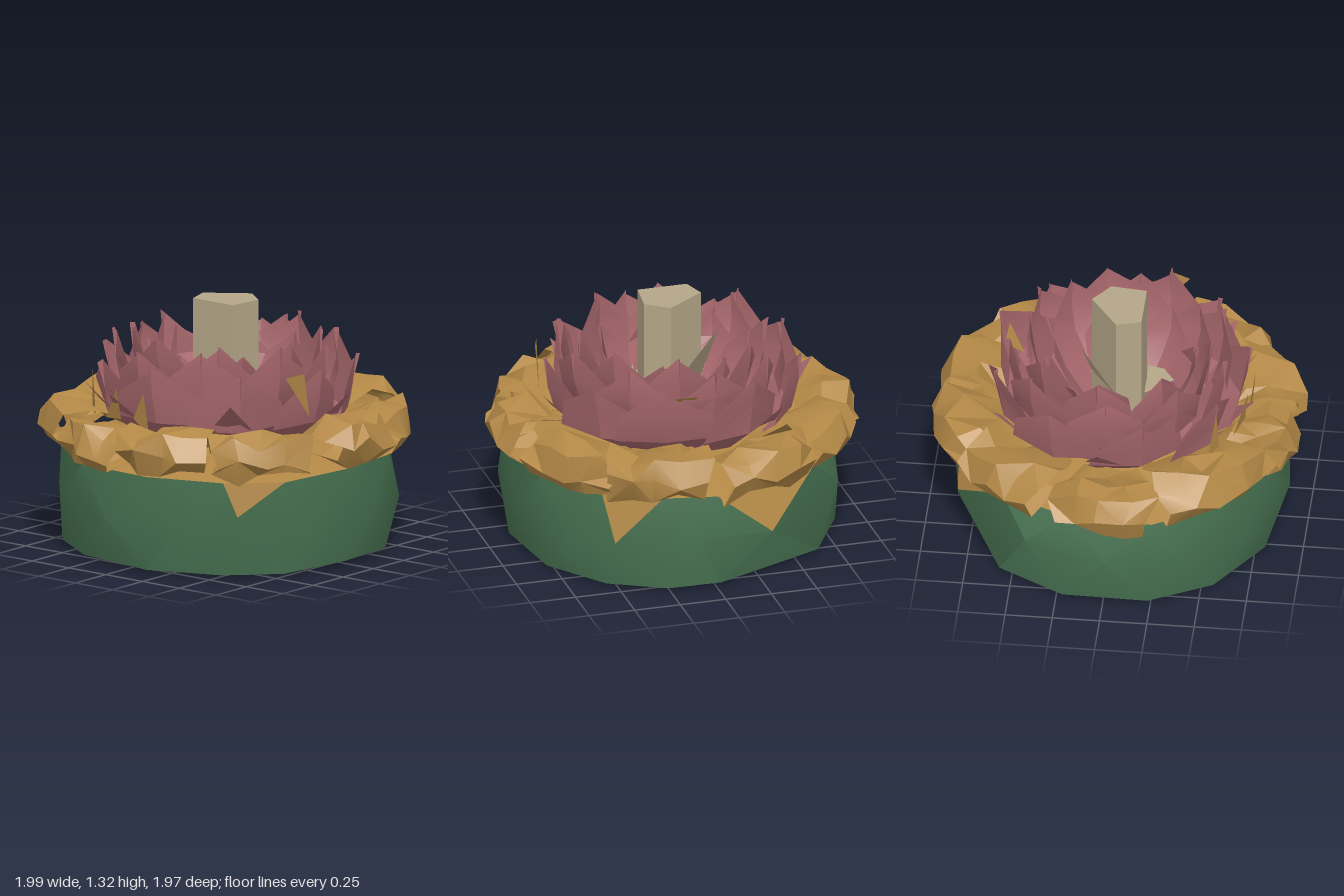
import * as THREE from 'three';
import { mergeGeometries, toCreasedNormals } from 'three/addons/utils/BufferGeometryUtils.js';

// seeded wobble in the range -1..1
let seed = 7;
const wob = () => {
  seed = (seed * 16807) % 2147483647;
  return (seed / 2147483647) * 2 - 1;
};

// point from azimuth in degrees (0 = +x, 90 = +z), radius and height
const polar = (deg, r, y, dx = 0, dz = 0) => {
  const a = THREE.MathUtils.degToRad(deg);
  return [r * Math.cos(a) + dx, y, r * Math.sin(a) + dz];
};

function fromTriangles(tris, crease = 0.45) {
  const g = new THREE.BufferGeometry();
  g.setAttribute('position', new THREE.Float32BufferAttribute(tris.flat(2), 3));
  return toCreasedNormals(g, crease);
}

// open sheet: rows of points, each row the same length
function sheet(rows) {
  const tris = [];
  for (let i = 0; i < rows.length - 1; i++) {
    for (let j = 0; j < rows[i].length - 1; j++) {
      const [a, b, c, d] = [rows[i][j], rows[i][j + 1], rows[i + 1][j + 1], rows[i + 1][j]];
      if ((i + j) % 2) tris.push([a, b, c], [a, c, d]);
      else tris.push([a, b, d], [b, c, d]);
    }
  }
  return fromTriangles(tris);
}

// wide pointed petal with a ridge; one edge tucks inside its neighbour
function uprightPetal(az, half, profile) {
  const grow = wob() * 0.03;
  return sheet(profile.map(([r, y, w], i) => {
    const tip = i / (profile.length - 1);
    return [-1, 0, 1].map((v) => polar(az + half * w * v,
      r + (v ? v * 0.04 * w : 0.02) + wob() * 0.01, y + grow * tip + wob() * 0.015));
  }));
}

// broad crumpled petal that arches over the rim and curls back under
function curledPetal(az, half, lift) {
  const profile = [[0.50, 0.64, 0.9], [0.64, 0.70, 1], [0.79, 0.77, 1.05], [0.92, 0.75, 1],
    [0.985, 0.65, 0.85], [0.93, 0.56, 0.85], [0.74, 0.60, 0.9]];
  return sheet(profile.map(([r, y, w]) => [-1, -0.5, 0, 0.5, 1].map((v) =>
    polar(az + half * w * v + wob() * 1.8, Math.min(r + 0.01 - 0.025 * v * v + wob() * 0.025, 0.995),
      y + lift + wob() * 0.045 - 0.02 * v * v))));
}

export function createModel() {
  const model = new THREE.Group();
  const material = (name, color) =>
    new THREE.MeshStandardMaterial({ name, color, side: THREE.DoubleSide });
  const green = material('green', 0x477150);
  const ochre = material('ochre', 0xb38846);
  const pink = material('dusty pink', 0xa8686d);
  const beige = material('beige', 0xb5a688);
  const add = (name, geometry, mat) => {
    const mesh = new THREE.Mesh(geometry, mat);
    mesh.name = name;
    model.add(mesh);
  };

  // faceted bowl: rim and base rings staggered against a wider middle ring
  const rimAz = [4, 30, 52, 80, 112, 140, 165, 195, 222, 268, 287, 309, 335];
  const midAz = [17, 47, 66, 96, 126, 152, 180, 208, 249, 277, 305, 322, 350];
  const rim = rimAz.map((a) => polar(a, 0.87 + wob() * 0.01, 0.525 + wob() * 0.015, 0.03, 0.03));
  const mid = midAz.map((a) => polar(a, 0.90 + wob() * 0.01, 0.30 + wob() * 0.05, 0.01, 0.01));
  const foot = rimAz.map((a) => polar(a, 0.86 + wob() * 0.015, 0.025 + wob() * 0.015, 0.01, 0.01));
  const patches = [1, 8, 10];
  const bowl = [], drips = [];
  for (let i = 0; i < rim.length; i++) {
    const n = (i + 1) % rim.length;
    (patches.includes(i) ? drips : bowl).push([rim[i], rim[n], mid[i]]);
    bowl.push([mid[i], rim[n], mid[n]], [foot[i], mid[i], foot[n]],
      [mid[i], mid[n], foot[n]], [[0, 0, 0], foot[i], foot[n]]);
  }
  add('bowl', fromTriangles(bowl, 0.5), green);
  add('bowlPatches', fromTriangles(drips), ochre);

  // sloping collar between the bowl and the flower, and the flower's floor
  const collar = [], floor = [];
  for (let i = 0; i < rim.length; i++) {
    const n = (i + 1) % rim.length;
    const a = polar(rimAz[i], 0.45, 0.63), b = polar(rimAz[n], 0.45, 0.63);
    collar.push([rim[i], a, rim[n]], [rim[n], a, b]);
    floor.push([a, [0, 0.63, 0], b]);
  }
  add('collar', fromTriangles(collar), ochre);
  add('flowerFloor', fromTriangles(floor), pink);

  // outer curled petals: azimuth, half width
  const curled = [[0, 15], [323, 20], [291, 18], [251, 20], [218, 17], [180, 18],
    [141, 21], [103, 13], [72, 16], [39, 18]];
  add('outerPetals', mergeGeometries(curled.map(([a, h], i) =>
    curledPetal(a, h, i % 2 ? -0.015 : 0.02))), ochre);

  // upright petal rings: count, half width, start azimuth, profile of [radius, height, width]
  const rings = [
    ['lowPetals', 9, 25, 5, [[0.45, 0.62, 0.9], [0.62, 0.74, 1], [0.65, 0.88, 0.85], [0.68, 1.03, 0]]],
    ['middlePetals', 9, 25, 25, [[0.38, 0.63, 0.9], [0.53, 0.80, 1], [0.57, 0.98, 0.8], [0.58, 1.13, 0]]],
    ['highPetals', 8, 27, 8, [[0.28, 0.63, 0.9], [0.42, 0.80, 1], [0.47, 1.00, 0.8], [0.49, 1.17, 0]]],
    ['innerPetals', 7, 30, 38, [[0.19, 0.66, 0.9], [0.30, 0.80, 1], [0.37, 0.94, 0.8], [0.40, 1.08, 0]]],
  ];
  for (const [name, count, half, start, profile] of rings) {
    const petals = [];
    for (let k = 0; k < count; k++) {
      petals.push(uprightPetal(start + k * 360 / count + wob() * 4, half, profile));
    }
    add(name, mergeGeometries(petals), pink);
  }

  // small pink petals leaning out over the curled ones
  add('leaningPetals', fromTriangles([48, 104, 126, 182, 235, 350].map((a) =>
    [polar(a - 10, 0.62, 0.74), polar(a + 8, 0.66, 0.78), polar(a + 1, 0.76, 0.90)])), pink);

  // ochre slivers lying against the upright petals: [azimuth, radius, height] corners
  const slivers = [
    [[133, 0.71, 0.73], [126, 0.71, 0.73], [129, 0.72, 1.0]],
    [[115, 0.70, 0.74], [103, 0.70, 0.76], [104, 0.72, 0.93]],
    [[95, 0.70, 0.78], [86, 0.70, 0.70], [88, 0.72, 0.93]],
    [[25, 0.72, 1.03], [16, 0.72, 1.04], [12, 0.70, 0.80]],
    [[273, 0.61, 1.0], [290, 0.64, 1.0], [281, 0.52, 0.9]],
  ];
  add('petalSlivers', fromTriangles(slivers.map((s) => s.map((p) => polar(...p)))), ochre);

  // five-sided central column
  const section = new THREE.Shape([[0.05, 0.15], [0.17, 0.06], [0.15, -0.13], [-0.12, -0.13], [-0.16, 0]]
    .map(([x, y]) => new THREE.Vector2(x, y)));
  const column = new THREE.ExtrudeGeometry(section, { depth: 0.70, bevelEnabled: false });
  column.rotateX(-Math.PI / 2).translate(0, 0.62, 0);
  add('column', column, beige);

  // two pointed flaps beside the column
  add('columnFlaps', fromTriangles([
    [[-0.20, 1.18, -0.18], [-0.16, 0.85, 0], [0.05, 0.85, -0.15]],
    [[-0.08, 0.82, 0.14], [0.13, 0.80, 0.35], [0.16, 0.82, 0.14]],
  ]), beige);

  return model;
}
